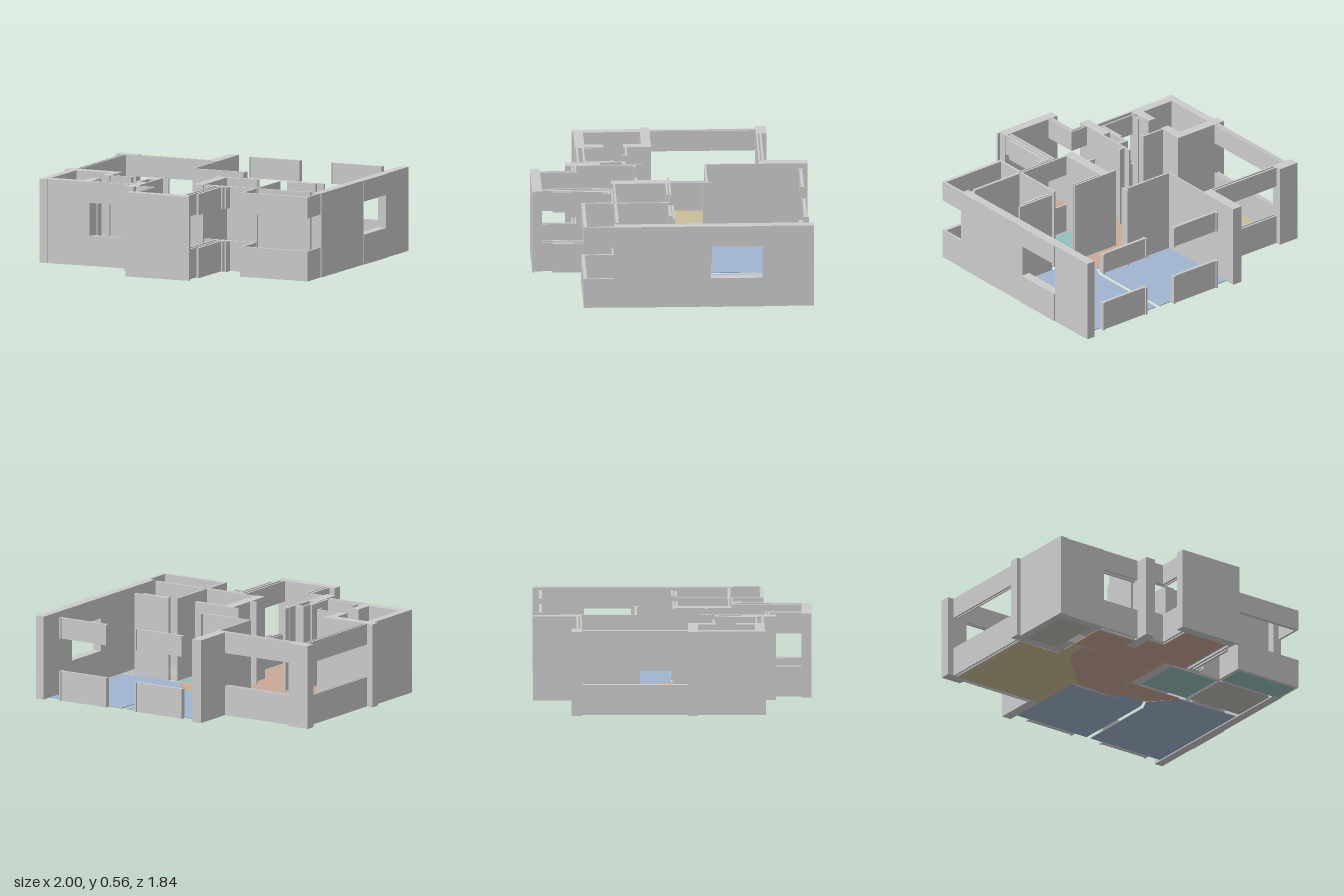
import * as THREE from 'three';

const H = 0.56, SILL = 0.2, HEAD = 0.42;

export function createModel() {
  const model = new THREE.Group();
  model.name = 'apartment';
  const grey = new THREE.MeshStandardMaterial({ color: 0xcccccc });

  // Box given by its plan rectangle and height range
  function block(name, x0, x1, z0, z1, y0 = 0, y1 = H) {
    const mesh = new THREE.Mesh(new THREE.BoxGeometry(x1 - x0, y1 - y0, z1 - z0), grey);
    mesh.position.set((x0 + x1) / 2, (y0 + y1) / 2, (z0 + z1) / 2);
    mesh.name = name;
    model.add(mesh);
  }
  // Window: sill wall below, lintel above, open between
  function windowWall(name, ...r) {
    block(name + 'Sill', ...r, 0, SILL);
    block(name + 'Lintel', ...r, HEAD, H);
  }
  // Thin floor slab from a plan outline
  function floor(name, color, pts) {
    const shape = new THREE.Shape(pts.map(([x, z]) => new THREE.Vector2(x, -z)));
    const geo = new THREE.ExtrudeGeometry(shape, { depth: 0.005, bevelEnabled: false });
    geo.rotateX(-Math.PI / 2);
    const mesh = new THREE.Mesh(geo, new THREE.MeshStandardMaterial({ color }));
    mesh.name = name;
    model.add(mesh);
  }
  const rect = (x0, x1, z0, z1) => [[x0, z0], [x1, z0], [x1, z1], [x0, z1]];

  // Floors
  const blue = 0xa2b5d0, teal = 0x96bfbd, stone = 0xc0bdb5;
  floor('livingFloor', 0xcbbf98, [[-0.92, -0.6], [-0.25, -0.6], [-0.25, -0.23], [-0.2, -0.23],
    [-0.5, 0.07], [-0.5, 0.1], [-0.53, 0.14], [-0.53, 0.26], [-0.61, 0.26], [-0.61, 0.09], [-0.92, 0.09]]);
  floor('hallFloor', 0xcaa896, [[-0.2, -0.23], [0.08, -0.23], [0.12, -0.175], [0.3, -0.175],
    [0.45, -0.03], [0.45, 0], [0.05, 0], [0.05, 0.39], [0.2, 0.39], [0.2, 0.85], [-0.12, 0.85],
    [-0.12, 0.61], [-0.25, 0.61], [-0.25, 0.45], [-0.32, 0.45], [-0.32, 0.545], [-0.61, 0.545],
    [-0.61, 0.26], [-0.53, 0.26], [-0.53, 0.14], [-0.5, 0.1], [-0.5, 0.07]]);
  floor('bedroomFloorRight', blue, [[-0.25, -0.85], [0.32, -0.85], [0.32, -0.25], [0.29, -0.175],
    [0.12, -0.175], [0.08, -0.23], [-0.25, -0.24]]);
  floor('bedroomFloorLeft', blue, [[0.35, -0.85], [0.92, -0.85], [0.92, -0.01], [0.45, -0.01],
    [0.45, -0.03], [0.31, -0.175], [0.35, -0.26]]);
  floor('bathFloor', teal, rect(0.12, 0.49, 0.03, 0.365));
  floor('storeFloor', stone, rect(0.51, 0.92, 0.03, 0.365));
  floor('balconyFloor', teal, rect(0.51, 0.97, 0.39, 0.575));
  floor('sideRoomFloor', stone, rect(-0.915, -0.675, 0.165, 0.54));

  // Outer wall on the left side with one window
  block('leftWallBack', 0.93, 0.99, -0.92, -0.58);
  windowWall('leftWindow', 0.93, 0.995, -0.58, -0.24);
  block('leftWallFront', 0.93, 0.99, -0.24, 0.4);

  // Free-standing bedroom windows, with thicker ends
  for (const x of [-0.14, 0.46]) {
    windowWall('bedroomWindow', x, x + 0.36, -0.88, -0.86);
    for (const e of [x - 0.005, x + 0.355])
      windowWall('bedroomWindowEnd', e, e + 0.012, -0.89, -0.852);
  }

  // Living room
  block('backColumn', -0.32, -0.25, -0.92, -0.6);
  block('cornerColumn', -1, -0.85, -0.67, -0.6);
  block('partitionWall', -0.26, -0.25, -0.6, -0.235);
  windowWall('livingBackOuter', -0.85, -0.32, -0.635, -0.622);
  windowWall('livingBackInner', -0.85, -0.32, -0.61, -0.6);
  windowWall('livingSideOuter', -0.955, -0.942, -0.6, 0.1);
  windowWall('livingSideInner', -0.932, -0.922, -0.6, 0.1);
  block('bedroomWall', -0.25, 0.12, -0.25, -0.235);
  block('bedroomWallEnd', 0.112, 0.125, -0.275, -0.215);

  // Side room with its doorway
  block('sideRoomBackWall', -1, -0.61, 0.1, 0.165);
  block('sideRoomOuterWall', -0.97, -0.915, 0.165, 0.54);
  block('sideRoomFrontWall', -0.97, -0.61, 0.54, 0.603);
  block('sideRoomCorner', -0.97, -0.915, 0.603, 0.612);
  block('sideRoomInnerWall', -0.675, -0.615, 0.165, 0.285);
  block('sideRoomInnerWall', -0.675, -0.615, 0.415, 0.54);

  // Entry room
  block('entryWall', -0.615, -0.45, 0.262, 0.275);
  block('entryWallEnd', -0.462, -0.45, 0.275, 0.3);
  block('entryPost', -0.59, -0.58, 0.48, 0.54);
  windowWall('entryWindowInner', -0.61, -0.32, 0.545, 0.556);
  windowWall('entryWindowOuter', -0.61, -0.33, 0.585, 0.598);
  block('entrySideWall', -0.345, -0.33, 0.36, 0.545);
  block('entrySideWallUpper', -0.33, -0.315, 0.28, 0.45);
  block('entryNib', -0.315, -0.265, 0.28, 0.305);
  block('frontColumn', -0.32, -0.25, 0.45, 0.68);
  block('hallWall', -0.262, -0.25, 0.17, 0.45);
  block('hallNib', -0.265, -0.21, 0.215, 0.232);

  // Kitchen bay
  block('kitchenFrontWall', -0.195, 0.25, 0.85, 0.915);
  block('kitchenFrontEnd', 0.25, 0.27, 0.9, 0.915);
  windowWall('kitchenReturnInner', -0.25, -0.12, 0.61, 0.62);
  windowWall('kitchenReturnOuter', -0.25, -0.14, 0.628, 0.64);
  windowWall('kitchenSideInner', -0.13, -0.12, 0.62, 0.85);
  windowWall('kitchenSideOuter', -0.155, -0.14, 0.628, 0.85);
  windowWall('kitchenWindowInner', 0.2, 0.212, 0.39, 0.85);
  windowWall('kitchenWindowMiddle', 0.23, 0.245, 0.4, 0.85);
  windowWall('kitchenWindowOuter', 0.258, 0.275, 0.41, 0.78);
  for (const x of [0.285, 0.31])
    windowWall('kitchenFin', x, x + 0.01, 0.41, 0.46);
  windowWall('kitchenFinBase', 0.23, 0.32, 0.4, 0.415);

  // Bathroom and store
  block('bathSideWall', 0.05, 0.12, 0, 0.39);
  block('bathNib', 0, 0.05, 0.215, 0.23);
  block('bathBackWall', 0, 0.345, 0, 0.012);
  block('bathBackLining', 0.12, 0.345, 0.02, 0.032);
  block('bathStoreWall', 0.495, 0.508, 0.02, 0.38);
  block('storeBackWall', 0.55, 0.82, -0.008, 0.006);
  block('storeBackLining', 0.56, 0.77, 0.012, 0.03);
  windowWall('bathWindow', 0.12, 0.5, 0.365, 0.377);
  windowWall('bathWindowOuter', 0.2, 0.5, 0.385, 0.395);
  block('storeFrontWall', 0.52, 0.9, 0.365, 0.385);

  // Balcony parapet and top band
  windowWall('balconyRightSide', 0.49, 0.508, 0.385, 0.6);
  windowWall('balconyFront', 0.508, 0.97, 0.577, 0.6);
  windowWall('balconyLeftSide', 0.97, 0.985, 0.4, 0.6);

  return model;
}
